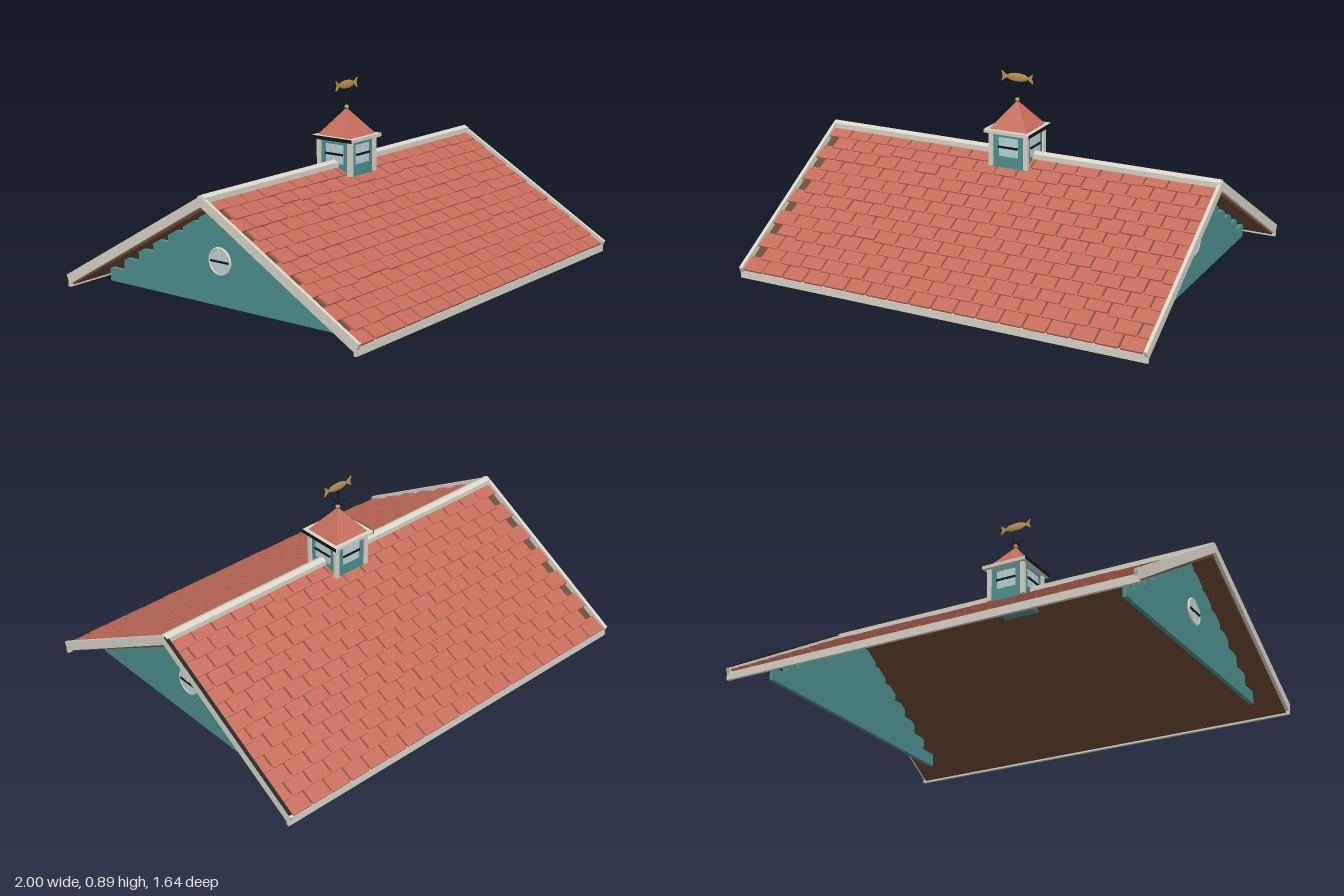
import * as THREE from 'three';
import { mergeGeometries } from 'three/addons/utils/BufferGeometryUtils.js';

const mat = (name, color) => {
  const m = new THREE.MeshStandardMaterial({ color });
  m.name = name;
  return m;
};

export function createModel() {
  const root = new THREE.Group();
  root.name = 'gableRoof';
  const terracotta = mat('terracotta', 0xc56d5b);
  const brown = mat('deckBrown', 0x6b4a33);
  const teal = mat('teal', 0x4e9090);
  const cream = mat('cream', 0xd9d5c9);
  const glass = mat('glass', 0xb9d3da);
  const black = mat('black', 0x141414);
  const gold = mat('gold', 0xb8924a);

  const add = (name, geo, material, x = 0, y = 0, z = 0, parent = root) => {
    const m = new THREE.Mesh(geo, material);
    m.name = name;
    m.position.set(x, y, z);
    parent.add(m);
    return m;
  };
  const box = (w, h, d) => new THREE.BoxGeometry(w, h, d);

  // Extrudes a (z, y) outline along x, centred on x = 0
  const alongX = (pts, length) => {
    const shape = new THREE.Shape(pts.map(p => new THREE.Vector2(...p)));
    return new THREE.ExtrudeGeometry(shape, { depth: length, bevelEnabled: false })
      .translate(0, 0, -length / 2).rotateY(Math.PI / 2);
  };
  const chevron = (top, eaveTop, eaveBottom, bottom, length) => alongX([
    [0, top], [-eaveTop[0], eaveTop[1]], [-eaveBottom[0], eaveBottom[1]],
    [0, bottom], eaveBottom, eaveTop], length);

  let seed = 7;
  const rand = () => (seed = (seed * 16807) % 2147483647) / 2147483647;

  // Roof deck, verge boards, ridge cap and eave boards
  add('roofDeck', chevron(0.493, [0.806, 0.028], [0.795, 0.008], 0.467, 1.97), brown);
  for (const s of [-1, 1]) {
    add('vergeBoard', chevron(0.53, [0.82, 0.053], [0.802, 0.012], 0.483, 0.016), cream, s * 0.992);
    add('eaveBoard', box(2, 0.036, 0.014), cream, 0, 0.018, s * 0.802);
  }
  add('ridgeCap', alongX([[0, 0.535], [-0.022, 0.524], [-0.022, 0.5], [0.022, 0.5], [0.022, 0.524]], 1.99), cream);
  // Dark capping on the rear verge
  const capping = add('vergeCapping', box(0.016, 0.004, 0.93), black, 0.992, 0.293, -0.41);
  capping.rotation.x = -Math.atan2(0.477, 0.82);

  // Staggered shingles, slightly uneven
  const rows = 13, cols = 18, slopeLength = 0.927;
  const step = slopeLength / rows, tileW = 1.97 / cols;
  for (const side of [1, -1]) {
    const tiles = [];
    for (let r = 0; r < rows; r++) {
      const shift = r % 2 ? tileW / 2 : 0;
      for (let c = 0; c < cols; c++) {
        const x0 = -0.985 + c * tileW + shift;
        const x1 = Math.min(x0 + tileW - 0.009, 0.985);
        const slip = r && rand() < 0.16 ? (rand() - 0.3) * 0.02 : 0;
        const lift = rand() * 0.003;
        const len = step + (r === rows - 1 ? -0.004 : 0.012);
        const end = slopeLength - r * step - slip;
        tiles.push(box(x1 - x0, 0.01, len)
          .rotateX(-0.07)
          .translate(side * (x0 + x1) / 2, 0.01 + lift, end - len / 2));
      }
    }
    const slope = new THREE.Group();
    slope.name = 'roofSlope';
    slope.rotation.y = side > 0 ? 0 : Math.PI;
    root.add(slope);
    const shingles = add('shingles', mergeGeometries(tiles), terracotta, 0, 0.493, 0, slope);
    shingles.rotation.x = Math.PI / 6;
  }

  // Gable walls of stepped boards, each with a round window
  for (const s of [-1, 1]) {
    const gable = new THREE.Group();
    gable.name = 'gableWall';
    gable.position.x = s * 0.87;
    gable.rotation.y = s * Math.PI / 2;
    root.add(gable);
    for (let i = 0; i < 8; i++) {
      const bottom = i ? 0.088 + (i - 1) * 0.0582 : 0.027;
      const top = Math.min(0.088 + i * 0.0582, 0.483);
      add('gableBoard', box(2 * (0.662 - i * 0.09), top - bottom, 0.02), teal, 0, (top + bottom) / 2, 0, gable);
    }
    add('roundGlass', new THREE.CylinderGeometry(0.057, 0.057, 0.008, 32).rotateX(Math.PI / 2), glass, 0, 0.225, 0.013, gable);
    add('roundFrame', new THREE.TorusGeometry(0.057, 0.006, 8, 32), cream, 0, 0.225, 0.014, gable);
    add('windowBarVertical', box(0.006, 0.11, 0.008), cream, 0, 0.225, 0.016, gable);
    add('windowBar', box(0.1, 0.008, 0.008), black, 0, 0.225, 0.018, gable);
  }

  // Cupola body with corner posts and a window on each side
  const cupola = new THREE.Group();
  cupola.name = 'cupola';
  root.add(cupola);
  add('cupolaBody', box(0.176, 0.2, 0.176), teal, 0, 0.53, 0, cupola);
  for (const x of [-1, 1]) for (const z of [-1, 1])
    add('cornerPost', box(0.02, 0.165, 0.02), cream, x * 0.088, 0.5475, z * 0.088, cupola);
  for (let i = 0; i < 4; i++) {
    const face = new THREE.Group();
    face.name = 'cupolaWindow';
    face.rotation.y = i * Math.PI / 2;
    cupola.add(face);
    add('pane', box(0.096, 0.088, 0.006), glass, 0, 0.56, 0.09, face);
    add('paneBarVertical', box(0.005, 0.088, 0.006), cream, 0, 0.56, 0.092, face);
    add('paneBar', box(0.1, 0.01, 0.006), black, 0, 0.56, 0.094, face);
  }
  add('cornice', box(0.23, 0.016, 0.23), cream, 0, 0.632, 0, cupola);
  for (const s of [-1, 1])
    add('corniceEdge', box(0.003, 0.016, 0.23), black, s * 0.1165, 0.632, 0, cupola);
  add('cupolaRoof', new THREE.ConeGeometry(0.095 * Math.SQRT2, 0.122, 4, 1).rotateY(Math.PI / 4).toNonIndexed(),
    terracotta, 0, 0.701, 0, cupola).geometry.computeVertexNormals();

  // Weather vane with a flat fish
  const vane = new THREE.Group();
  vane.name = 'weatherVane';
  root.add(vane);
  add('finialBall', new THREE.SphereGeometry(0.011, 16, 12), gold, 0, 0.765, 0, vane);
  add('vaneRod', new THREE.CylinderGeometry(0.003, 0.003, 0.1, 8), black, 0, 0.81, 0, vane);
  add('vaneArm', box(0.086, 0.004, 0.004), black, 0, 0.787, 0, vane);
  add('vaneArm', box(0.004, 0.004, 0.086), black, 0, 0.787, 0, vane);
  add('fishBody', new THREE.SphereGeometry(1, 20, 12).scale(0.056, 0.02, 0.005), gold, 0, 0.87, 0, vane);
  for (const s of [-1, 1]) {
    const tail = new THREE.Shape([[0.046, 0], [0.08, -0.024], [0.073, 0], [0.08, 0.024]]
      .map(([x, y]) => new THREE.Vector2(x, y)));
    const geo = new THREE.ExtrudeGeometry(tail, { depth: 0.006, bevelEnabled: false }).translate(0, 0, -0.003);
    add('fishTail', geo, gold, 0, 0.87, 0, vane).rotation.y = s > 0 ? 0 : Math.PI;
  }
  return root;
}
